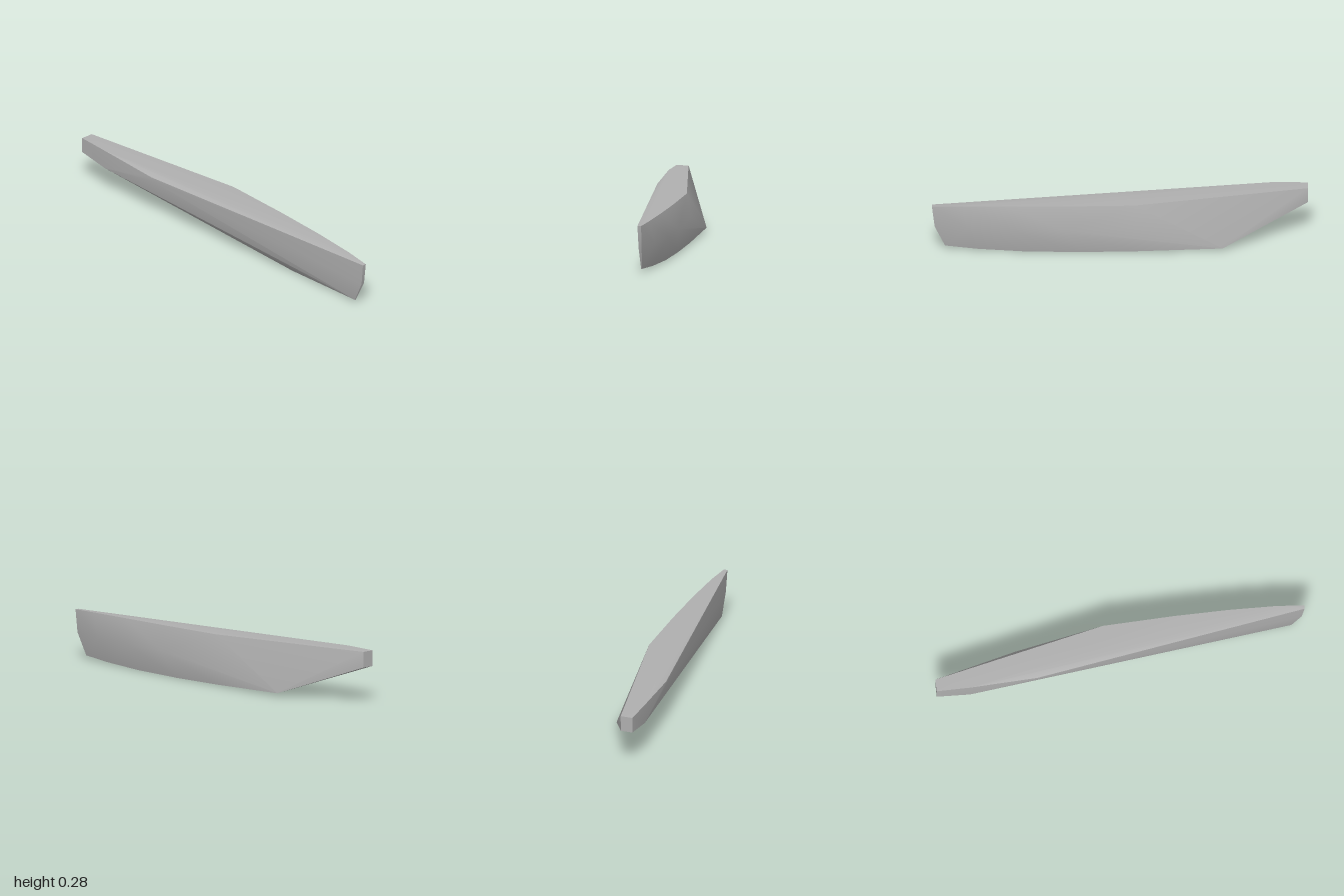
import * as THREE from 'three';
import { ConvexGeometry } from 'three/addons/geometries/ConvexGeometry.js';
import { toCreasedNormals } from 'three/addons/utils/BufferGeometryUtils.js';

export function createModel() {
  const model = new THREE.Group();
  const grey = new THREE.MeshStandardMaterial({ color: 0xb0b0b0 });
  grey.name = 'stone grey';

  // blunt end at -x
  const bluntEnd = [
    [-1, 0.28, 0.162], [-1, 0.28, 0.095], [-1, 0.195, 0.162], [-1, 0.195, 0.097],
    [-0.82, 0.281, 0.161], [-0.82, 0.175, 0.161],
  ];
  // shoulder on the front side
  const shoulder = [[-0.46, 0.262, 0.138], [-0.46, 0.243, 0.138]];
  // rear edge of the top
  const topEdge = [
    [-0.08, 0.275, -0.113], [0.3, 0.273, -0.128], [0.6, 0.271, -0.132], [0.85, 0.267, -0.128],
  ];
  // bulge along the back
  const backBulge = [
    [-0.08, 0.15, -0.138], [0.3, 0.14, -0.158], [0.55, 0.138, -0.16], [0.8, 0.138, -0.145],
  ];
  // curved underside
  const keel = [
    [-0.55, 0.02, -0.11], [-0.1, 0.006, -0.08], [0.2, 0.002, -0.07], [0.45, 0.003, -0.074],
    [-0.1, 0.007, -0.126], [0.2, 0.002, -0.132], [0.5, 0.003, -0.133], [0.75, 0.01, -0.122],
  ];
  // narrow tip at +x
  const tip = [
    [1, 0.262, -0.098], [1, 0.262, -0.118], [0.985, 0.14, -0.101], [0.985, 0.14, -0.118],
    [0.93, 0.02, -0.102], [0.93, 0.02, -0.106],
  ];

  const points = [bluntEnd, shoulder, topEdge, backBulge, keel, tip]
    .flat().map((p) => new THREE.Vector3(...p));
  const shard = new THREE.Mesh(toCreasedNormals(new ConvexGeometry(points), 0.5), grey);
  shard.name = 'shard';
  model.add(shard);
  return model;
}
